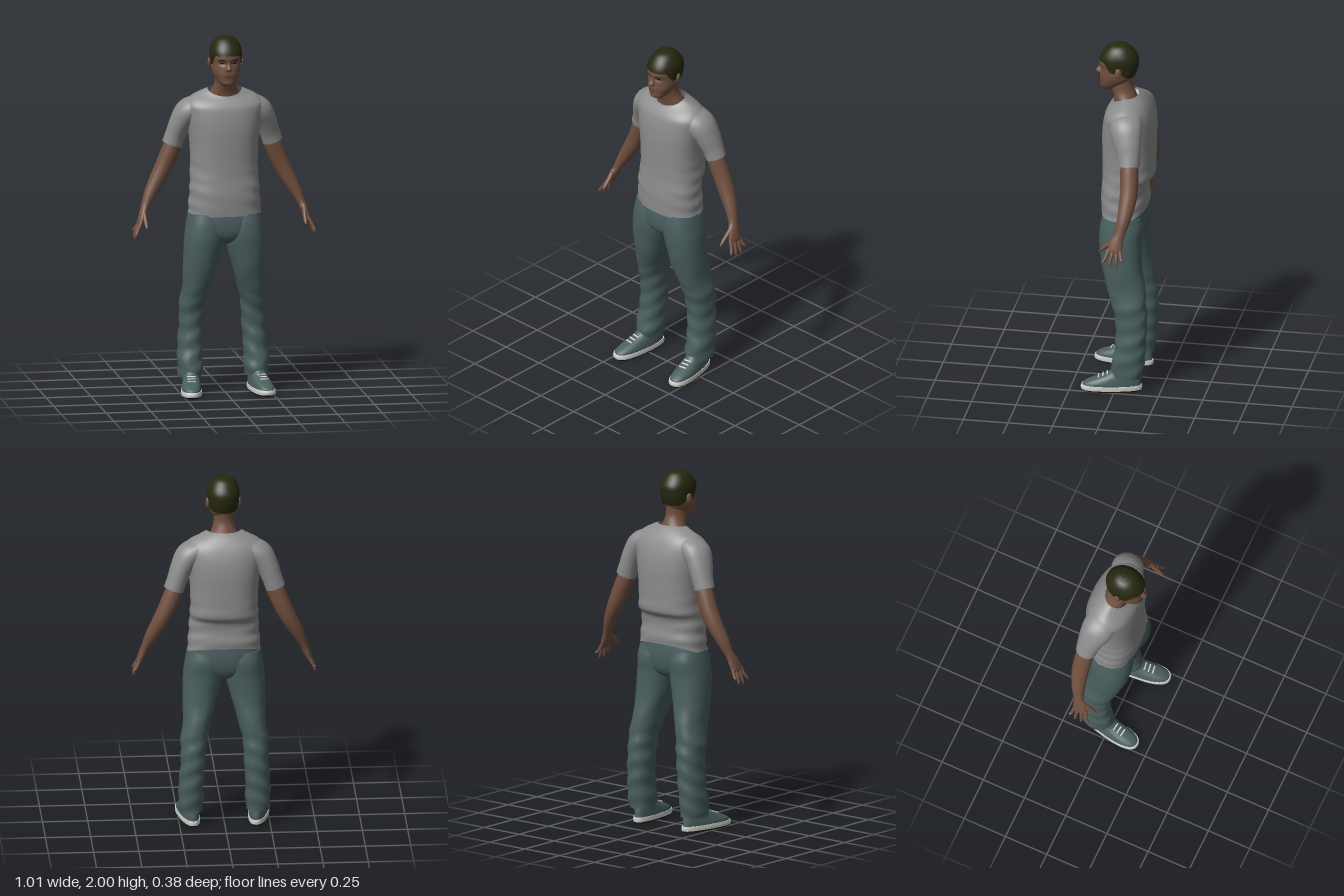
import * as THREE from 'three';

const { sin, cos, abs, sign, PI, max, exp } = Math;
const step = THREE.MathUtils.smoothstep, lerp = THREE.MathUtils.lerp;
const mat = (name, color) => new THREE.MeshStandardMaterial({ name, color, side: THREE.DoubleSide });

// Smooth grid surface from fn(u, v): v runs round the section, u along the part.
function surface(fn, rows, cols, closed = true, caps = false) {
  const pos = [], idx = [], n = closed ? cols : cols + 1;
  for (let i = 0; i <= rows; i++)
    for (let j = 0; j < n; j++) pos.push(...fn(i / rows, j / cols));
  for (let i = 0; i < rows; i++)
    for (let j = 0; j < cols; j++) {
      const a = i * n + j, b = i * n + (j + 1) % n;
      idx.push(a, b, a + n, b, b + n, a + n);
    }
  if (caps) for (const end of [0, 1]) {
    const base = pos.length / 3, c = [0, 0, 0];
    for (let j = 0; j < n; j++) {
      const p = fn(end, j / cols);
      pos.push(...p);
      p.forEach((q, k) => { c[k] += q / n; });
    }
    pos.push(...c);
    for (let j = 0; j < n; j++) {
      const a = base + j, b = base + (j + 1) % n;
      idx.push(base + n, ...(end ? [a, b] : [b, a]));
    }
  }
  const g = new THREE.BufferGeometry();
  g.setAttribute('position', new THREE.Float32BufferAttribute(pos, 3));
  g.setIndex(idx);
  g.computeVertexNormals();
  return g;
}

// Smooth interpolation of a table keyed by its first column.
function at(T, y) {
  let i = 0;
  while (i < T.length - 2 && (y - T[i + 1][0]) * (T[1][0] - T[0][0]) > 0) i++;
  const h = T[i + 1][0] - T[i][0], t = (y - T[i][0]) / h;
  const slope = (k, c) => {
    const a = T[max(0, k - 1)], b = T[Math.min(T.length - 1, k + 1)];
    return (b[c] - a[c]) / (b[0] - a[0]);
  };
  return T[i].map((p, c) => {
    const q = T[i + 1][c], t2 = t * t, t3 = t2 * t;
    return p * (2 * t3 - 3 * t2 + 1) + q * (3 * t2 - 2 * t3) +
      h * (slope(i, c) * (t3 - 2 * t2 + t) + slope(i + 1, c) * (t3 - t2));
  });
}

// Point on a level section: rows are [y, centre x, half width, front z, back z, squareness].
function section(T, y, th) {
  const [, cx, rx, f, b, n] = at(T, y), c = cos(th), s = sin(th);
  return [cx + rx * sign(c) * abs(c) ** (2 / n), y, (f + b) / 2 + (f - b) / 2 * sign(s) * abs(s) ** (2 / n)];
}
function loft(T, rows, cols, caps = true, deform = p => p) {
  const y0 = T[0][0], y1 = T[T.length - 1][0];
  return surface((u, v) => deform(section(T, lerp(y0, y1, u), v * 2 * PI), v * 2 * PI), rows, cols, true, caps);
}

// Limb along a path: rows are [x, y, z, radius across, radius in depth].
function limb(P, rows, cols) {
  const T = P.map((p, i) => [i, ...p]), Z = new THREE.Vector3(0, 0, 1), m = P.length - 1;
  return surface((u, v) => {
    const k = u * m, [, x, y, z, ru, rv] = at(T, k);
    const a = at(T, max(0, k - 0.1)), b = at(T, Math.min(m, k + 0.1));
    const t = new THREE.Vector3(b[1] - a[1], b[2] - a[2], b[3] - a[3]).normalize();
    const U = new THREE.Vector3().crossVectors(t, Z).normalize(), V = new THREE.Vector3().crossVectors(t, U);
    return U.multiplyScalar(ru * cos(v * 2 * PI)).addScaledVector(V, rv * sin(v * 2 * PI))
      .add(new THREE.Vector3(x, y, z)).toArray();
  }, rows, cols, true, true);
}

function mirrored(geo) {
  const g = geo.clone().scale(-1, 1, 1), ix = g.index.array;
  for (let i = 0; i < ix.length; i += 3) [ix[i], ix[i + 1]] = [ix[i + 1], ix[i]];
  g.computeVertexNormals();
  return g;
}

const HEAD = [
  [1.999, 0, 0.004, 0.012, 0, 2], [1.992, 0, 0.036, 0.05, -0.03, 2], [1.975, 0, 0.06, 0.08, -0.055, 2],
  [1.95, 0, 0.076, 0.103, -0.076, 2.1], [1.92, 0, 0.084, 0.118, -0.09, 2.2], [1.885, 0, 0.084, 0.124, -0.09, 2.2],
  [1.86, 0, 0.082, 0.118, -0.086, 2.2], [1.83, 0, 0.08, 0.119, -0.076, 2.2], [1.8, 0, 0.074, 0.122, -0.06, 2.2],
  [1.77, 0, 0.06, 0.119, -0.03, 2.2], [1.745, 0, 0.043, 0.118, 0, 2.2], [1.732, 0, 0.026, 0.103, 0.03, 2],
];
// Head surface with eye sockets, pushed out by an offset.
function headPoint(y, th, out = 0) {
  const p = section(HEAD, y, th);
  if (p[2] > 0) p[2] -= 0.009 * exp(-(((abs(p[0]) - 0.032) / 0.018) ** 2) - ((y - 1.862) / 0.012) ** 2);
  return [p[0] + out * cos(th), p[1] + out * step(y, 1.95, 2), p[2] + out * sin(th)];
}
const rad = d => d * PI / 180;
const facePatch = (d0, d1, y0, y1, out) =>
  surface((u, v) => {
    const bulge = sin(PI * v) ** 0.6;
    return headPoint((y0 + y1) / 2 + (0.5 - u) * (y1 - y0) * bulge, rad(lerp(d0, d1, v)), out);
  }, 3, 10, false);

export function createModel() {
  const model = new THREE.Group();
  const skin = mat('skin', 0x70503f), hair = mat('hair', 0x26280f), shirt = mat('shirt grey', 0x8c8c8c);
  const denim = mat('blue grey cloth', 0x4a5e5e), white = mat('sole white', 0xd0d0cc), dark = mat('dark', 0x1c1c14);
  const lip = mat('lip', 0x5f3f36);
  const add = (name, geo, m) => {
    const mesh = new THREE.Mesh(geo, m);
    mesh.name = name;
    model.add(mesh);
  };
  const pair = (name, geo, m) => {
    add('left ' + name, geo, m);
    add('right ' + name, mirrored(geo), m);
  };

  // Head, hair and face
  add('head', surface((u, v) => headPoint(lerp(1.999, 1.732, u), v * 2 * PI), 48, 48, true, true), skin);
  const hairline = s => s > 0 ? 1.85 + 0.055 * step(s, 0.25, 0.65) : 1.85 - 0.035 * step(-s, 0, 0.8);
  add('hair', surface((u, v) => {
    const th = v * 2 * PI;
    return headPoint(lerp(1.998, hairline(sin(th)), u ** 1.4), th, 0.004);
  }, 24, 48, true, true), hair);
  add('nose', loft([[1.878, 0, 0.007, 0.122, 0.09, 2], [1.855, 0, 0.01, 0.131, 0.09, 2],
    [1.832, 0, 0.018, 0.146, 0.09, 2], [1.82, 0, 0.017, 0.136, 0.09, 2], [1.815, 0, 0.01, 0.124, 0.09, 2]], 12, 16), skin);
  add('upper lip', facePatch(72, 108, 1.79, 1.799, 0.005), lip);
  add('lower lip', facePatch(74, 106, 1.779, 1.789, 0.006), lip);
  pair('eye', facePatch(58, 76, 1.857, 1.867, 0.002), dark);
  pair('eyebrow', facePatch(50, 80, 1.877, 1.886, 0.003), hair);
  pair('ear', new THREE.SphereGeometry(1, 14, 10).scale(0.01, 0.03, 0.019).rotateY(0.3).translate(0.089, 1.853, 0.004), skin);
  add('neck', loft([[1.82, 0, 0.055, 0.06, -0.066, 2], [1.76, 0, 0.056, 0.068, -0.062, 2], [1.72, 0, 0.061, 0.052, -0.075, 2],
    [1.68, 0, 0.08, 0.036, -0.09, 2], [1.63, 0, 0.1, 0.03, -0.11, 2]], 14, 28), skin);

  // Shirt: dipped neckline, loose fold at the back, raised rear hem
  add('shirt body', loft([
    [1.705, 0, 0.095, 0.043, -0.095, 2], [1.69, 0, 0.128, 0.048, -0.115, 2], [1.66, 0, 0.185, 0.064, -0.14, 2.2],
    [1.62, 0, 0.217, 0.08, -0.162, 2.4], [1.56, 0, 0.213, 0.094, -0.181, 2.4], [1.48, 0, 0.2, 0.102, -0.19, 2.4],
    [1.4, 0, 0.19, 0.102, -0.19, 2.4], [1.3, 0, 0.186, 0.1, -0.188, 2.4], [1.23, 0, 0.188, 0.1, -0.185, 2.4],
    [1.2, 0, 0.19, 0.101, -0.158, 2.4], [1.12, 0, 0.194, 0.107, -0.149, 2.4], [1.05, 0, 0.199, 0.105, -0.155, 2.4],
    [1, 0, 0.203, 0.102, -0.15, 2.4]], 64, 48, false, ([x, y, z], th) => {
    const s = sin(th), low = step(-y, -1.4, -1.15);
    const r = 1 + 0.014 * low * sin(y * 75 + 3 * cos(th)) * abs(cos(th));
    const ny = y - 0.038 * max(0, (y - 1.6) / 0.1) * max(0, s) + 0.045 * max(0, (1.2 - y) / 0.2) * max(0, -s);
    return [x * r, ny, z * r];
  }), shirt);
  pair('sleeve', limb([[0.13, 1.62, -0.05, 0.05, 0.085], [0.195, 1.575, -0.06, 0.069, 0.09], [0.235, 1.51, -0.075, 0.062, 0.078],
    [0.262, 1.44, -0.088, 0.056, 0.064], [0.281, 1.385, -0.093, 0.056, 0.058]], 20, 24), shirt);

  // Arms with palms, fingers and thumb
  pair('arm', limb([[0.25, 1.45, -0.088, 0.044, 0.048], [0.285, 1.36, -0.095, 0.05, 0.051], [0.325, 1.265, -0.1, 0.048, 0.05],
    [0.362, 1.19, -0.096, 0.044, 0.046], [0.405, 1.11, -0.083, 0.035, 0.037], [0.437, 1.04, -0.067, 0.023, 0.029],
    [0.452, 1, -0.053, 0.021, 0.038], [0.469, 0.955, -0.045, 0.016, 0.041], [0.476, 0.936, -0.043, 0.008, 0.034]], 40, 20), skin);
  // finger rows: base z, tip y, tip z
  for (const [bz, ty, tz] of [[-0.013, 0.886, 0.018], [-0.035, 0.87, -0.022], [-0.056, 0.872, -0.06], [-0.075, 0.9, -0.092]])
    pair('finger', limb([[0.466, 0.965, bz, 0.01, 0.011], [0.488, 0.92, lerp(bz, tz, 0.5), 0.009, 0.0095],
      [0.499, ty + 0.012, lerp(bz, tz, 0.9), 0.007, 0.008], [0.503, ty, tz, 0.002, 0.003]], 9, 10), skin);
  pair('thumb', limb([[0.447, 1.01, -0.035, 0.012, 0.016], [0.445, 0.975, 0.002, 0.012, 0.013],
    [0.444, 0.948, 0.032, 0.009, 0.009], [0.445, 0.935, 0.046, 0.003, 0.003]], 9, 10), skin);

  // Trousers: hips and two creased legs
  add('hips', loft([[1.08, 0, 0.185, 0.09, -0.135, 2.4], [1.02, 0, 0.197, 0.095, -0.142, 2.4], [0.96, 0, 0.208, 0.1, -0.142, 2.4],
    [0.9, 0, 0.185, 0.096, -0.13, 2.3], [0.86, 0, 0.11, 0.075, -0.105, 2], [0.838, 0, 0.04, 0.03, -0.06, 2]], 24, 40), denim);
  pair('trouser leg', loft([[1.01, 0.105, 0.098, 0.088, -0.13, 2.3], [0.95, 0.108, 0.105, 0.1, -0.143, 2.3],
    [0.86, 0.116, 0.109, 0.103, -0.135, 2.2], [0.7, 0.137, 0.092, 0.08, -0.14, 2.2], [0.6, 0.151, 0.077, 0.055, -0.158, 2.2],
    [0.5, 0.17, 0.072, 0.022, -0.168, 2.2], [0.4, 0.174, 0.068, 0.002, -0.174, 2.2], [0.3, 0.18, 0.068, 0.001, -0.17, 2.2],
    [0.2, 0.185, 0.069, 0.012, -0.163, 2.2], [0.14, 0.185, 0.07, 0.026, -0.157, 2.2], [0.085, 0.185, 0.064, 0.015, -0.15, 2.2]],
  72, 32, true, ([x, y, z], th) => {
    const w = 0.035 * step(-y, -0.62, -0.45) * sin(y * 62 + 1.6 * sin(th) + 2 * cos(th)) + 0.012 * sin(y * 30 + 3 * th);
    return [x + (x - 0.17) * w * step(-y, -0.9, -0.7), y, z + (z + 0.07) * w * step(-y, -0.9, -0.7)];
  }), denim);

  // Shoes, turned slightly outward and wider at the toe
  const widen = ([x, y, z]) => [x * (1 + z * 0.9), y, z];
  const place = g => g.rotateY(0.14).translate(0.19, 0, 0);
  pair('shoe upper', place(loft([[0.14, 0, 0.04, 0.01, -0.12, 2.4], [0.1, 0, 0.044, 0.045, -0.13, 2.4],
    [0.08, 0, 0.047, 0.095, -0.135, 2.4], [0.06, 0, 0.05, 0.148, -0.138, 2.4], [0.042, 0, 0.052, 0.18, -0.14, 2.4],
    [0.028, 0, 0.052, 0.183, -0.14, 2.4]], 16, 32, true, widen)), denim);
  pair('shoe sole', place(loft([[0.034, 0, 0.055, 0.188, -0.146, 2.5], [0.02, 0, 0.056, 0.193, -0.148, 2.5],
    [0.008, 0, 0.055, 0.19, -0.146, 2.5]], 4, 32, true, widen)), white);
  pair('shoe tread', place(loft([[0.009, 0, 0.054, 0.188, -0.145, 2.5], [0, 0, 0.052, 0.182, -0.142, 2.5]], 1, 32, true, widen)), dark);
  for (let i = 0; i < 3; i++)
    pair('lace', place(new THREE.BoxGeometry(0.046, 0.005, 0.008).rotateX(0.4).translate(0, 0.1 - i * 0.009, 0.045 + i * 0.024)), white);

  return model;
}
